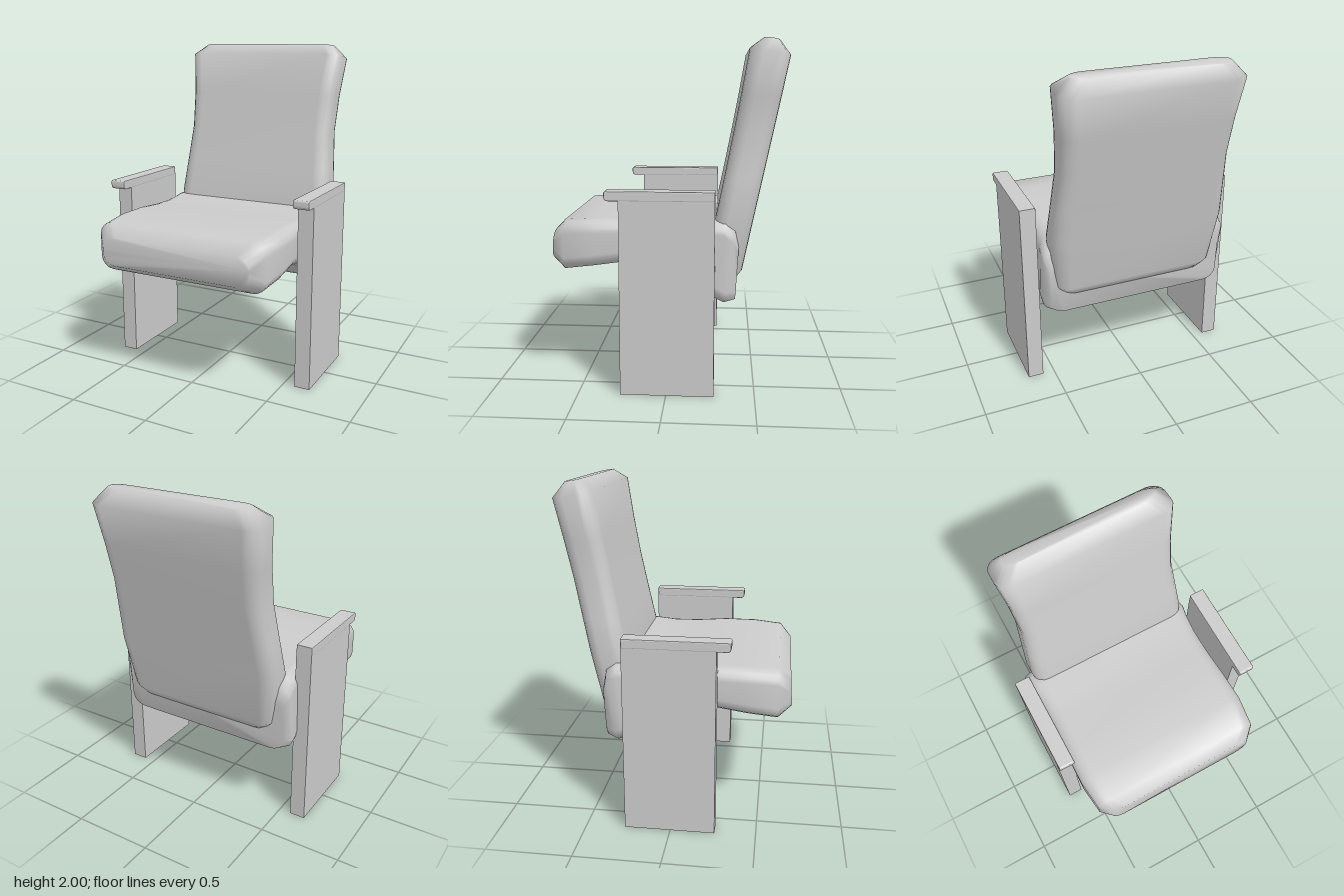
import * as THREE from 'three';

const material = new THREE.MeshStandardMaterial({ color: 0xcccccc });

// Rounded-rectangle outline in unit corners: sign of each side plus corner arc offset
const CORNER_STEPS = 4;
const outline = [];
[[1, 1], [-1, 1], [-1, -1], [1, -1]].forEach(([sx, sv], c) => {
  for (let k = 0; k <= CORNER_STEPS; k++) {
    const a = (c + k / CORNER_STEPS) * Math.PI / 2;
    outline.push({ sx, sv, cos: Math.cos(a), sin: Math.sin(a) });
  }
});

// Padded cushion lofted through stations [zLow, yLow, zHigh, yHigh, halfWidth]
function cushion(name, stations, offsetX = 0) {
  const n = outline.length;
  const pos = [], index = [];
  for (const [z0, y0, z1, y1, w] of stations) {
    const half = Math.hypot(z1 - z0, y1 - y0) / 2;
    const rx = 0.085, rv = Math.min(0.075, half * 0.85);
    for (const { sx, sv, cos, sin } of outline) {
      const x = sx * (w - rx) + rx * cos;
      const t = 0.5 + (sv * (half - rv) + rv * sin) / (2 * half);
      pos.push(x + offsetX, y0 + (y1 - y0) * t, z0 + (z1 - z0) * t);
    }
  }
  const last = stations.length - 1;
  for (let i = 0; i < last; i++) {
    for (let j = 0; j < n; j++) {
      const a = i * n + j, b = i * n + (j + 1) % n;
      index.push(a, a + n, b, b, a + n, b + n);
    }
  }
  // End caps
  for (let j = 1; j < n - 1; j++) {
    index.push(0, j, j + 1);
    index.push(last * n, last * n + j + 1, last * n + j);
  }
  const geo = new THREE.BufferGeometry();
  geo.setAttribute('position', new THREE.Float32BufferAttribute(pos, 3));
  geo.setIndex(index);
  geo.computeVertexNormals();
  const mesh = new THREE.Mesh(geo, material);
  mesh.name = name;
  return mesh;
}

// Upright slab with a thin armrest cap that overhangs at the front
function sidePanel(name, x) {
  const group = new THREE.Group();
  group.name = name;
  const panel = new THREE.Mesh(new THREE.BoxGeometry(0.095, 1.12, 0.53), material);
  panel.name = 'panel';
  panel.position.set(x, 0.56, -0.005);

  const s = new THREE.Shape();
  s.moveTo(-0.27, 1.11);
  s.lineTo(0.315, 1.11);
  s.quadraticCurveTo(0.34, 1.11, 0.34, 1.135);
  s.lineTo(0.34, 1.152);
  s.quadraticCurveTo(0.34, 1.165, 0.327, 1.165);
  s.lineTo(-0.27, 1.165);
  s.closePath();
  const bevel = 0.006;
  const geo = new THREE.ExtrudeGeometry(s, {
    depth: 0.098 - 2 * bevel, curveSegments: 5, bevelEnabled: true,
    bevelThickness: bevel, bevelSize: bevel, bevelOffset: -bevel, bevelSegments: 2,
  });
  geo.translate(0, 0, -(0.098 / 2 - bevel));
  geo.rotateY(-Math.PI / 2);
  const cap = new THREE.Mesh(geo, material);
  cap.name = 'armrest';
  cap.position.x = x;
  group.add(panel, cap);
  return group;
}

export function createModel() {
  const chair = new THREE.Group();
  chair.name = 'chair';

  // Seat: from the rounded nose back to the deep rear edge
  chair.add(cushion('seat', [
    [0.68, 0.73, 0.67, 0.90, 0.48],
    [0.60, 0.68, 0.60, 0.97, 0.55],
    [0.43, 0.705, 0.42, 0.983, 0.572],
    [0.25, 0.73, 0.22, 0.985, 0.567],
    [0.10, 0.712, 0.03, 0.972, 0.56],
    [-0.05, 0.65, -0.13, 0.97, 0.56],
    [-0.18, 0.585, -0.26, 0.98, 0.57],
    [-0.27, 0.53, -0.33, 0.98, 0.585],
    [-0.32, 0.505, -0.385, 0.94, 0.585],
    [-0.385, 0.515, -0.405, 0.86, 0.55],
  ], -0.013));

  // Backrest: reclined, with a gentle waist
  chair.add(cushion('backrest', [
    [-0.395, 0.63, -0.29, 0.66, 0.46],
    [-0.425, 0.68, -0.25, 0.74, 0.51],
    [-0.495, 1.03, -0.27, 0.99, 0.538],
    [-0.54, 1.24, -0.315, 1.21, 0.52],
    [-0.585, 1.45, -0.36, 1.44, 0.502],
    [-0.63, 1.67, -0.405, 1.68, 0.512],
    [-0.675, 1.90, -0.45, 1.94, 0.538],
    [-0.62, 1.985, -0.53, 2.0, 0.46],
  ]));

  chair.add(sidePanel('leftSide', 0.62), sidePanel('rightSide', -0.62));
  return chair;
}
